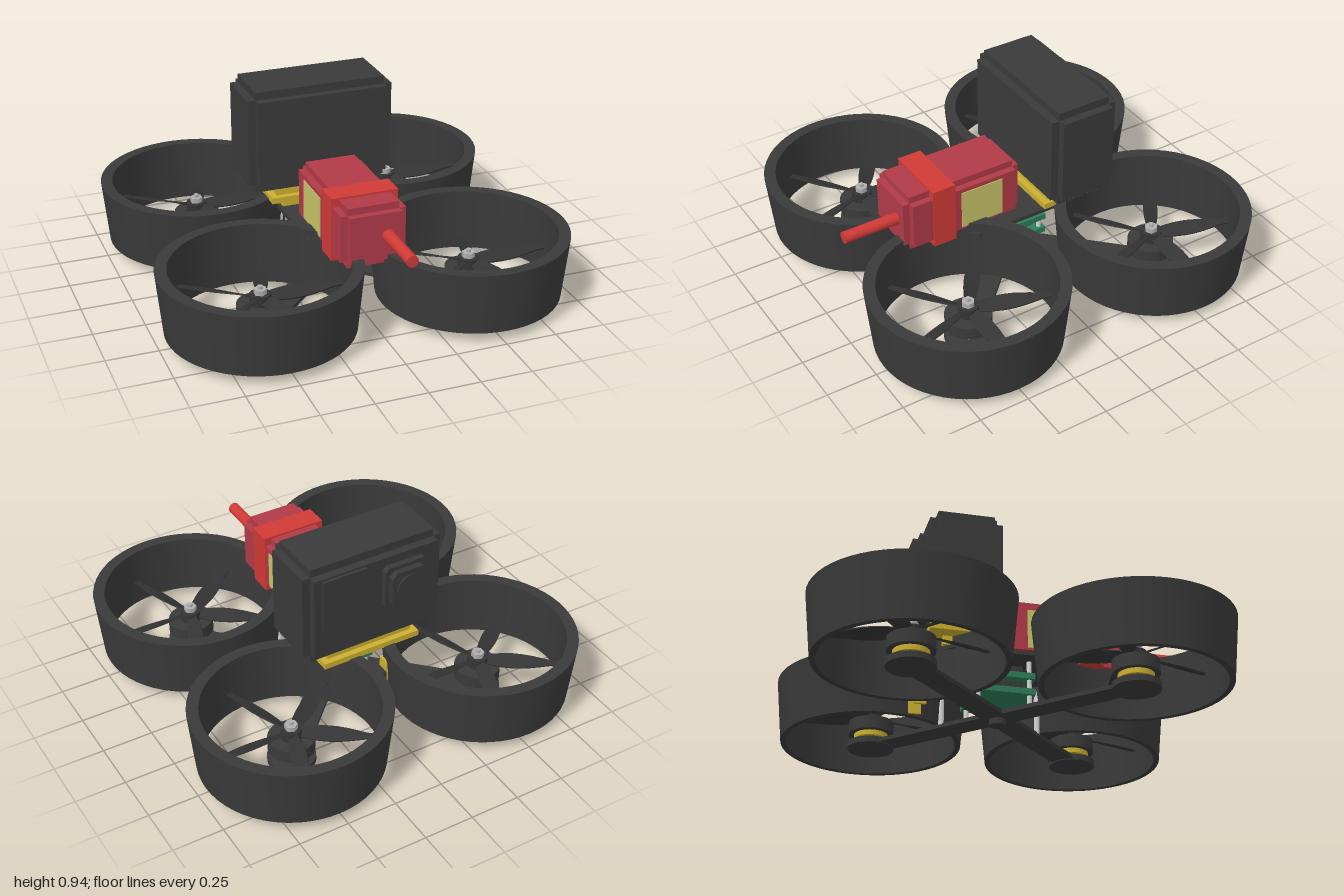
import * as THREE from 'three';

const mat = (name, color, extra = {}) => Object.assign(new THREE.MeshStandardMaterial({ color, ...extra }), { name });

export function createModel() {
  const model = new THREE.Group();
  model.name = 'quadcopter';
  const dark = mat('dark grey', 0x3a3a3a);
  const blade = mat('propeller grey', 0x343434);
  const red = mat('battery red', 0xb23a48);
  const strapRed = mat('strap red', 0xd03a36);
  const yellow = mat('mount yellow', 0xccb030);
  const labelYellow = mat('label yellow', 0xc8c468);
  const green = mat('board green', 0x2f7d5c);
  const silver = mat('silver', 0xb0b0b0);
  const white = mat('standoff white', 0xd8d8d8);

  const add = (name, geo, material, parent = model) => {
    const m = new THREE.Mesh(geo, material);
    m.name = name;
    parent.add(m);
    return m;
  };
  // box given by its minimum and maximum on each axis
  const box = (name, [x0, x1], [y0, y1], [z0, z1], material, parent) =>
    add(name, new THREE.BoxGeometry(x1 - x0, y1 - y0, z1 - z0)
      .translate((x0 + x1) / 2, (y0 + y1) / 2, (z0 + z1) / 2), material, parent);
  // upright cylinder between two heights
  const post = (name, r, y0, y1, x, z, material, parent, sides = 24) =>
    add(name, new THREE.CylinderGeometry(r, r, y1 - y0, sides).translate(x, (y0 + y1) / 2, z), material, parent);
  // rectangle with cut corners, extruded along +z
  const cutPlate = (hx, hy, cut, depth) => {
    const s = new THREE.Shape([[hx - cut, -hy], [hx, cut - hy], [hx, hy - cut], [hx - cut, hy],
      [cut - hx, hy], [-hx, hy - cut], [-hx, cut - hy], [cut - hx, -hy]].map(p => new THREE.Vector2(...p)));
    return new THREE.ExtrudeGeometry(s, { depth, bevelEnabled: false });
  };
  // block with stepped edges, made of three crossing boxes
  const steppedBlock = (name, x, y, z, s, material) => {
    const g = new THREE.Group();
    g.name = name;
    const inset = ([a, b]) => [a + s, b - s];
    box(name + 'Wide', x, inset(y), inset(z), material, g);
    box(name + 'Tall', inset(x), y, inset(z), material, g);
    box(name + 'Long', inset(x), inset(y), z, material, g);
    model.add(g);
  };

  // ducts: tapered outside, straight inside
  const ductGeo = () => {
    const pts = [[0.42, 0.05], [0.447, 0.05], [0.477, 0.36], [0.42, 0.36], [0.42, 0.05]];
    const parts = [];
    for (let i = 0; i < 4; i++) {
      parts.push(new THREE.LatheGeometry([pts[i], pts[i + 1]].map(p => new THREE.Vector2(...p)), 56));
    }
    return parts;
  };
  const ductParts = ductGeo();

  // twisted, tapering propeller blade along +x
  const bladeGeo = new THREE.BoxGeometry(0.37, 0.008, 1, 8, 1, 1).translate(0.215, 0, 0);
  const p = bladeGeo.attributes.position;
  for (let i = 0; i < p.count; i++) {
    const t = (p.getX(i) - 0.03) / 0.37;
    const chord = 0.045 + 0.04 * Math.sin(Math.PI * Math.min(1, t * 1.15)) - 0.015 * t;
    const a = 0.6 - 0.4 * t, y = p.getY(i), z = p.getZ(i) * chord;
    p.setY(i, y * Math.cos(a) - z * Math.sin(a));
    p.setZ(i, y * Math.sin(a) + z * Math.cos(a));
  }
  bladeGeo.computeVertexNormals();

  for (const sx of [-1, 1]) for (const sz of [-1, 1]) {
    const rotor = new THREE.Group();
    rotor.name = 'rotor';
    rotor.position.set(sx * 0.522, 0, sz * 0.522);
    model.add(rotor);
    for (const g of ductParts) add('duct', g, dark, rotor);

    // motor
    post('motorBase', 0.115, 0.025, 0.055, 0, 0, dark, rotor, 32);
    post('motorCore', 0.05, 0.05, 0.12, 0, 0, dark, rotor);
    post('motorWindings', 0.085, 0.075, 0.1, 0, 0, yellow, rotor);
    post('motorBell', 0.112, 0.1, 0.165, 0, 0, dark, rotor, 32);

    // propeller
    post('propellerHub', 0.05, 0.165, 0.215, 0, 0, blade, rotor);
    post('propellerNut', 0.032, 0.215, 0.24, 0, 0, silver, rotor, 6);
    post('propellerShaft', 0.012, 0.24, 0.255, 0, 0, silver, rotor, 12);
    for (let i = 0; i < 5; i++) {
      const b = add('propellerBlade', bladeGeo, blade, rotor);
      b.position.y = 0.195;
      b.rotation.y = i * Math.PI * 2 / 5;
    }

    // standoff between arm and top plate
    post('standoff', 0.014, 0.045, 0.295, sx * 0.165, sz * 0.24, white, model, 10);
  }

  // crossed bottom arms and centre bolt
  for (const s of [-1, 1]) {
    const arm = box('arm', [-0.74, 0.74], [0.03, 0.05], [-0.06, 0.06], dark);
    arm.rotation.y = s * Math.PI / 4;
  }
  post('centreBoltHead', 0.04, 0, 0.03, 0, 0, dark);
  post('centreBolt', 0.024, 0.03, 0.085, 0, 0, dark);

  // top plate and electronics stack
  add('topPlate', cutPlate(0.205, 0.315, 0.05, 0.02).rotateX(Math.PI / 2).translate(0, 0.31, 0), dark);
  for (const y of [0.115, 0.195]) box('circuitBoard', [-0.15, 0.15], [y, y + 0.03], [-0.15, 0.15], green);
  box('boardChips', [-0.1, 0.1], [0.145, 0.195], [-0.1, 0.1], dark);
  box('receiver', [-0.1, 0.1], [0.24, 0.275], [-0.1, 0.1], dark);
  for (const x of [-0.125, 0.125]) for (const z of [-0.125, 0.125]) {
    post('boardPost', 0.012, 0.05, 0.29, x, z, white, model, 10);
  }

  // small rear camera between two side plates
  for (const s of [-1, 1]) {
    box('cameraSidePlate', [s * 0.065 - 0.006, s * 0.065 + 0.006], [0.05, 0.29], [-0.42, -0.36], yellow);
  }
  box('rearCameraBody', [-0.055, 0.055], [0.13, 0.24], [-0.43, -0.31], dark);
  add('rearCameraLens', new THREE.CylinderGeometry(0.048, 0.048, 0.06, 24).rotateX(Math.PI / 2).translate(0, 0.185, -0.45), dark);
  add('rearCameraLensTip', new THREE.CylinderGeometry(0.038, 0.038, 0.04, 24).rotateX(Math.PI / 2).translate(0, 0.185, -0.495), dark);

  // mount under the action camera
  box('mountFoot', [-0.19, 0.19], [0.31, 0.36], [-0.31, -0.12], yellow);
  box('mountFlange', [-0.26, 0.26], [0.355, 0.385], [-0.385, -0.07], yellow);
  box('mountTop', [-0.23, 0.23], [0.385, 0.425], [-0.355, -0.1], yellow);

  // action camera
  steppedBlock('actionCamera', [-0.37, 0.37], [0.42, 0.94], [-0.41, -0.055], 0.04, dark);
  box('cameraScreen', [0.06, 0.29], [0.62, 0.89], [-0.425, -0.4], dark);
  add('lensBase', cutPlate(0.115, 0.115, 0.02, 0.04).translate(-0.145, 0.742, -0.44), dark);
  add('lensBlock', cutPlate(0.095, 0.095, 0.025, 0.06).translate(-0.145, 0.742, -0.47), dark);
  add('lensGlass', new THREE.CylinderGeometry(0.07, 0.07, 0.01, 28).rotateX(Math.PI / 2).translate(-0.145, 0.742, -0.473), dark);

  // battery with strap, side labels and lead
  steppedBlock('battery', [-0.16, 0.16], [0.305, 0.605], [0, 0.63], 0.034, red);
  box('batteryStrap', [-0.165, 0.165], [0.3, 0.615], [0.37, 0.49], strapRed);
  for (const s of [-1, 1]) {
    box('batteryLabel', [s * 0.161 - 0.003, s * 0.161 + 0.003], [0.35, 0.55], [0.11, 0.335], labelYellow);
  }
  add('batteryLead', new THREE.CylinderGeometry(0.029, 0.029, 0.3, 20).rotateX(Math.PI / 2).translate(0.06, 0.46, 0.76), strapRed);

  return model;
}
